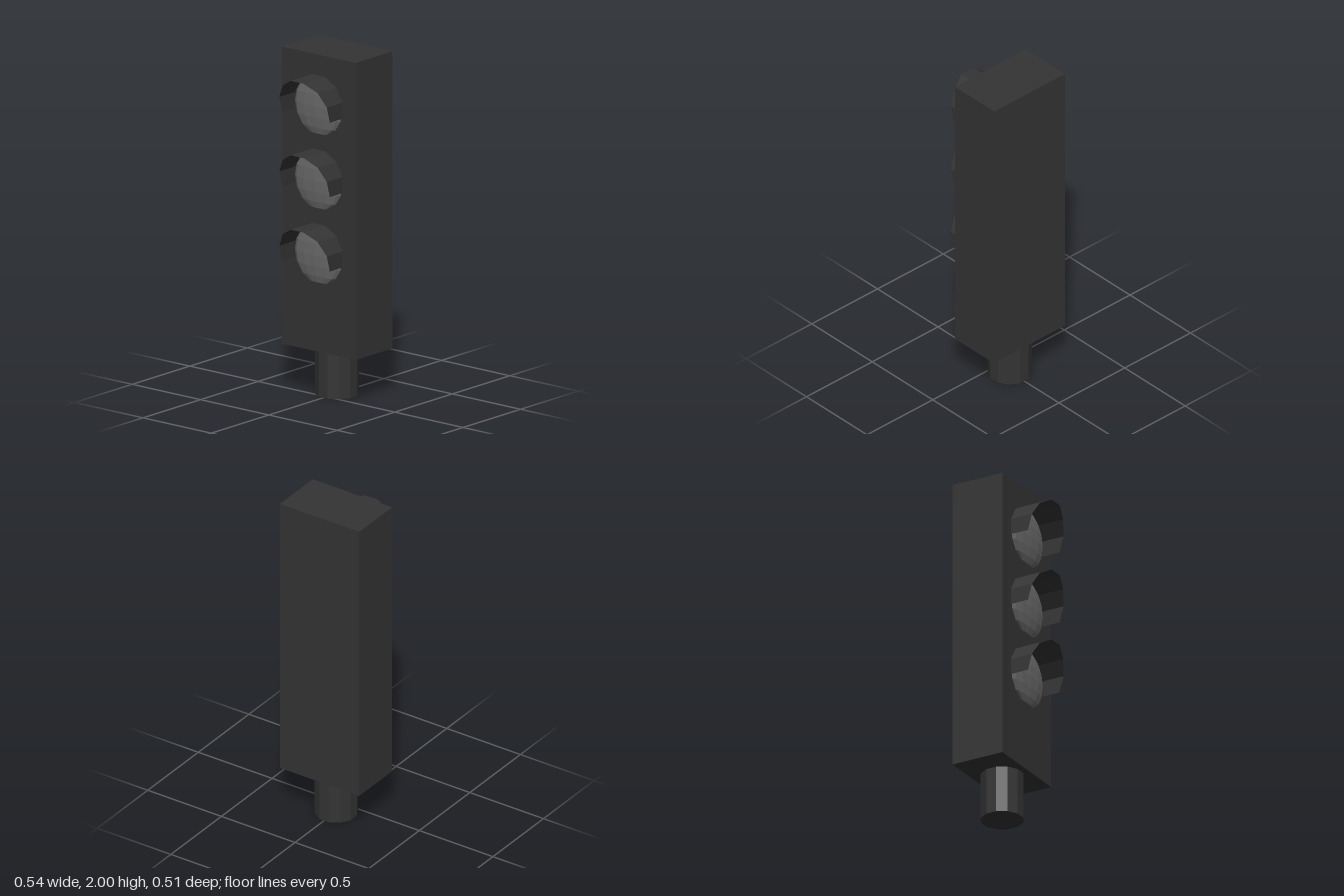
import * as THREE from 'three';

const FRONT = 0.067; // z of the housing's front face

// Hood: seven sides of a twelve-sided tube, with the front edge sloping back
function hoodGeometry() {
  const rim = [0.177, 0.203, 0.228, 0.255, 0.255, 0.228, 0.203, 0.177];
  const g = new THREE.CylinderGeometry(0.18, 0.18, 1, 7, 1, true, Math.PI * 75 / 180, Math.PI * 210 / 180);
  g.rotateX(Math.PI / 2);
  const p = g.attributes.position;
  for (let i = 0; i < p.count; i++) p.setZ(i, i < 8 ? rim[i] : FRONT - 0.002);
  g.computeVertexNormals();
  return g;
}

// Lens: shallow half-dome, trimmed flat at top and bottom
function lensGeometry() {
  const g = new THREE.SphereGeometry(0.175, 6, 8, 0, Math.PI);
  const p = g.attributes.position;
  for (let i = 0; i < p.count; i++) {
    p.setY(i, THREE.MathUtils.clamp(p.getY(i), -0.1617, 0.1617));
    p.setZ(i, p.getZ(i) * 0.18);
  }
  g.computeVertexNormals();
  return g;
}

export function createModel() {
  const model = new THREE.Group();
  const charcoal = new THREE.MeshStandardMaterial({ color: 0x343434, flatShading: true, side: THREE.DoubleSide });
  charcoal.name = 'charcoal';
  const grey = new THREE.MeshStandardMaterial({ color: 0x6a6a6a, flatShading: true });
  grey.name = 'lens grey';

  const add = (name, geometry, material, x, y, z) => {
    const mesh = new THREE.Mesh(geometry, material);
    mesh.name = name;
    mesh.position.set(x, y, z);
    model.add(mesh);
    return mesh;
  };

  // Housing and the stub it stands on
  add('housing', new THREE.BoxGeometry(0.538, 1.725, 0.324), charcoal, 0, 1.1375, -0.095);
  const post = add('post', new THREE.CylinderGeometry(0.124, 0.124, 0.28, 12), charcoal, 0, 0.14, -0.093);
  post.rotation.y = Math.PI / 12;

  // Three hooded lamps
  const hood = hoodGeometry();
  const lens = lensGeometry();
  ['top', 'middle', 'bottom'].forEach((name, i) => {
    const y = 1.706 - i * 0.432;
    add(name + 'Hood', hood, charcoal, 0, y, 0);
    add(name + 'Lens', lens, grey, 0, y, FRONT - 0.001);
  });

  return model;
}
